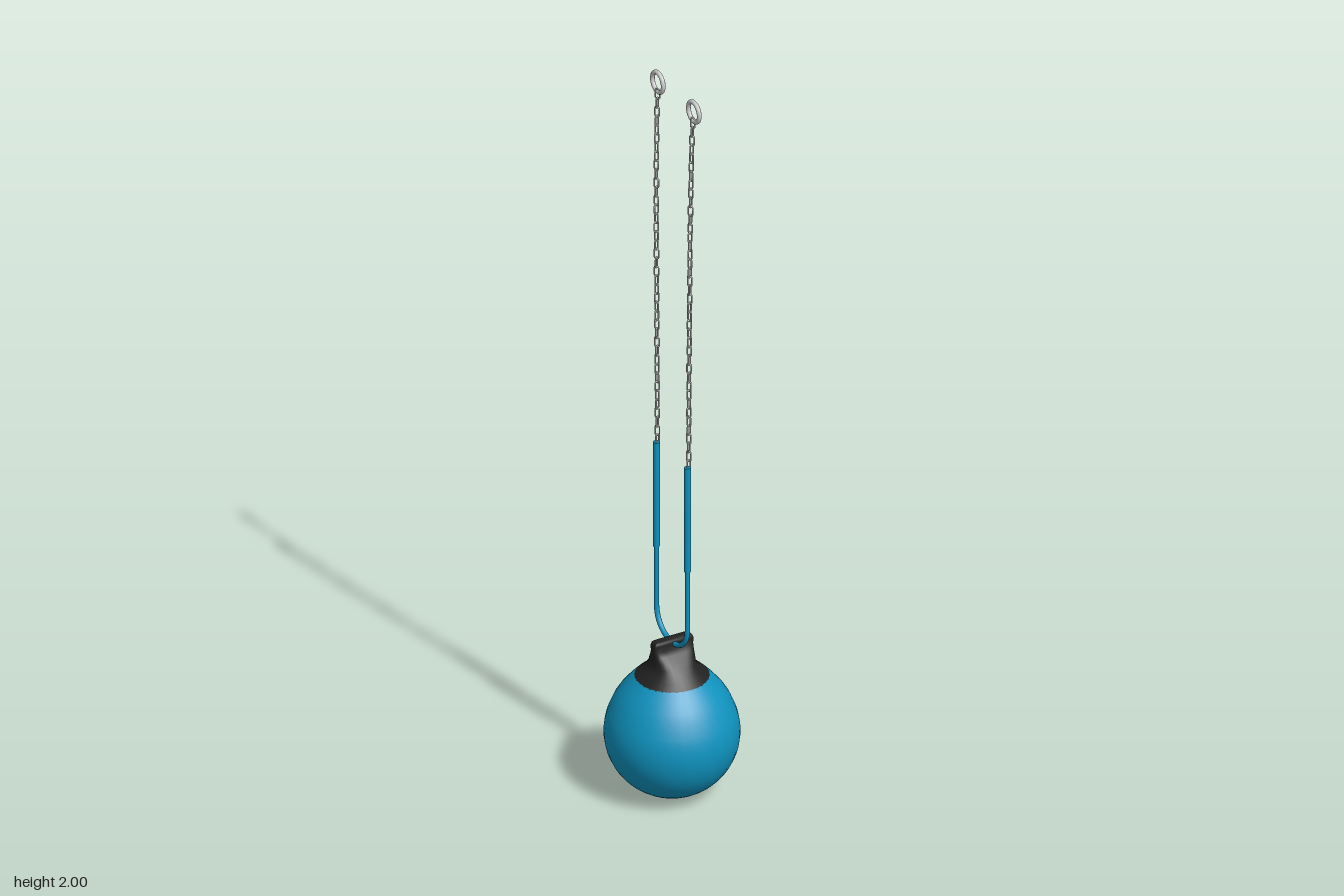
import * as THREE from 'three';

const blue = new THREE.MeshStandardMaterial({ color: 0x0f93bf });
const black = new THREE.MeshStandardMaterial({ color: 0x222222 });
const metal = new THREE.MeshStandardMaterial({ color: 0xcccccc });

function add(parent, name, geometry, material) {
  const mesh = new THREE.Mesh(geometry, material);
  mesh.name = name;
  parent.add(mesh);
  return mesh;
}

// Skin between superellipse sections [y, half x, half z, exponent], closed on top
function loft(sections, n = 32) {
  const pos = [], idx = [];
  for (const [y, a, b, e] of sections) {
    for (let i = 0; i < n; i++) {
      const t = (i / n) * Math.PI * 2, c = Math.cos(t), s = Math.sin(t);
      pos.push(a * Math.sign(c) * Math.abs(c) ** (2 / e), y, b * Math.sign(s) * Math.abs(s) ** (2 / e));
    }
  }
  for (let r = 0; r < sections.length - 1; r++) {
    for (let i = 0; i < n; i++) {
      const a = r * n + i, b = r * n + (i + 1) % n;
      idx.push(a, a + n, b, b, a + n, b + n);
    }
  }
  const top = (sections.length - 1) * n, centre = pos.length / 3;
  pos.push(0, sections.at(-1)[0], 0);
  for (let i = 0; i < n; i++) idx.push(top + i, centre, top + (i + 1) % n);
  const g = new THREE.BufferGeometry();
  g.setAttribute('position', new THREE.Float32BufferAttribute(pos, 3));
  g.setIndex(idx);
  g.computeVertexNormals();
  return g;
}

// Oval chain link: a small torus pulled apart along y
function linkGeometry() {
  const g = new THREE.TorusGeometry(0.006, 0.0021, 6, 14);
  g.rotateZ(Math.PI / 14);
  const p = g.attributes.position;
  for (let i = 0; i < p.count; i++) p.setY(i, p.getY(i) + Math.sign(p.getY(i)) * 0.0085);
  g.computeVertexNormals();
  return g;
}

export function createModel() {
  const model = new THREE.Group();
  model.name = 'hangingBall';

  // Ball: round below, drawn up into a shoulder
  const profile = [];
  for (let i = 0; i <= 18; i++) {
    const t = -Math.PI / 2 + (i / 18) * (Math.PI / 2 + 0.35);
    profile.push(new THREE.Vector2(Math.max(0, 0.17 * Math.cos(t)), 0.174 + 0.17 * Math.sin(t)));
  }
  for (const [r, y] of [[0.147, 0.263], [0.131, 0.289], [0.112, 0.312], [0.093, 0.332]]) {
    profile.push(new THREE.Vector2(r, y));
  }
  add(model, 'ball', new THREE.LatheGeometry(profile, 36), blue);

  // Cap: cone pinched into a flat tab
  add(model, 'cap', loft([
    [0.331, 0.094, 0.094, 2], [0.345, 0.078, 0.078, 2], [0.358, 0.065, 0.064, 2.2],
    [0.37, 0.057, 0.052, 2.6], [0.385, 0.056, 0.038, 3.2], [0.4, 0.056, 0.024, 4],
    [0.411, 0.056, 0.015, 6], [0.428, 0.056, 0.014, 8], [0.435, 0.053, 0.013, 8],
    [0.438, 0.048, 0.009, 8],
  ]), black);

  // Strap: U-shaped cord threaded through the tab
  const cord = new THREE.CurvePath();
  const v = (y, z) => new THREE.Vector3(0, y, z);
  cord.add(new THREE.LineCurve3(v(0.95, 0.076), v(0.5, 0.076)));
  cord.add(new THREE.CubicBezierCurve3(v(0.5, 0.076), v(0.45, 0.076), v(0.424, 0.04), v(0.424, 0)));
  cord.add(new THREE.CubicBezierCurve3(v(0.424, 0), v(0.424, -0.04), v(0.45, -0.076), v(0.5, -0.076)));
  cord.add(new THREE.LineCurve3(v(0.5, -0.076), v(0.95, -0.076)));
  add(model, 'cord', new THREE.TubeGeometry(cord, 120, 0.0068, 10), blue);

  // Sleeve, chain and end ring on each side
  const link = linkGeometry();
  const count = 40;
  for (const side of [1, -1]) {
    const arm = new THREE.Group();
    arm.name = side > 0 ? 'frontArm' : 'backArm';
    model.add(arm);

    add(arm, 'sleeve', new THREE.CylinderGeometry(0.0088, 0.0088, 0.295, 12), blue)
      .position.set(0, 0.808, side * 0.076);

    for (let i = 0; i < count; i++) {
      const t = i / (count - 1);
      const m = add(arm, 'chainLink', link, metal);
      m.position.set(0.003 + 0.006 * t ** 6, 0.962 + t * 0.974, side * (0.076 + 0.01 * t));
      m.rotation.y = (i % 2) * Math.PI / 2 + 0.35 + 0.3 * Math.sin(i * 0.7);
    }

    const ring = add(arm, 'endRing', new THREE.TorusGeometry(0.0265, 0.006, 10, 32), metal);
    ring.rotation.y = Math.PI / 2;
    ring.position.set(0.011, 1.9675, side * 0.088);
  }
  return model;
}
